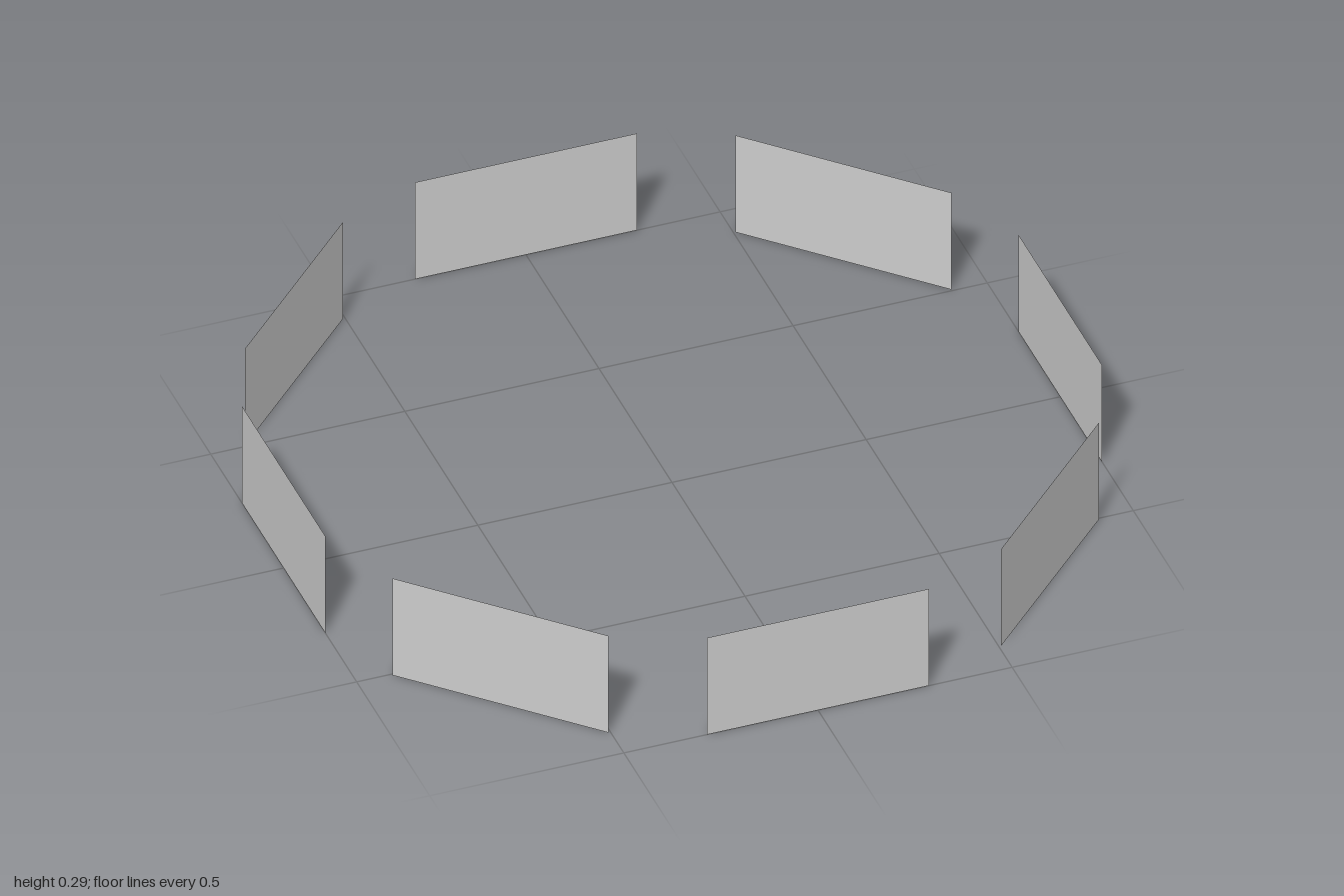
import * as THREE from 'three';

export function createModel() {
  const group = new THREE.Group();
  group.name = 'panelRing';

  const count = 8, radius = 1, width = 0.572, height = 0.288;
  const material = new THREE.MeshStandardMaterial({ color: 0xcccccc, side: THREE.DoubleSide });

  // One thin upright panel, standing on the ground at the ring's radius
  const geometry = new THREE.PlaneGeometry(width, height);
  geometry.translate(0, height / 2, radius);

  // Ring of panels, each facing outward
  for (let i = 0; i < count; i++) {
    const panel = new THREE.Mesh(geometry, material);
    panel.name = `panel${i + 1}`;
    panel.rotation.y = (i / count) * Math.PI * 2;
    group.add(panel);
  }
  return group;
}
